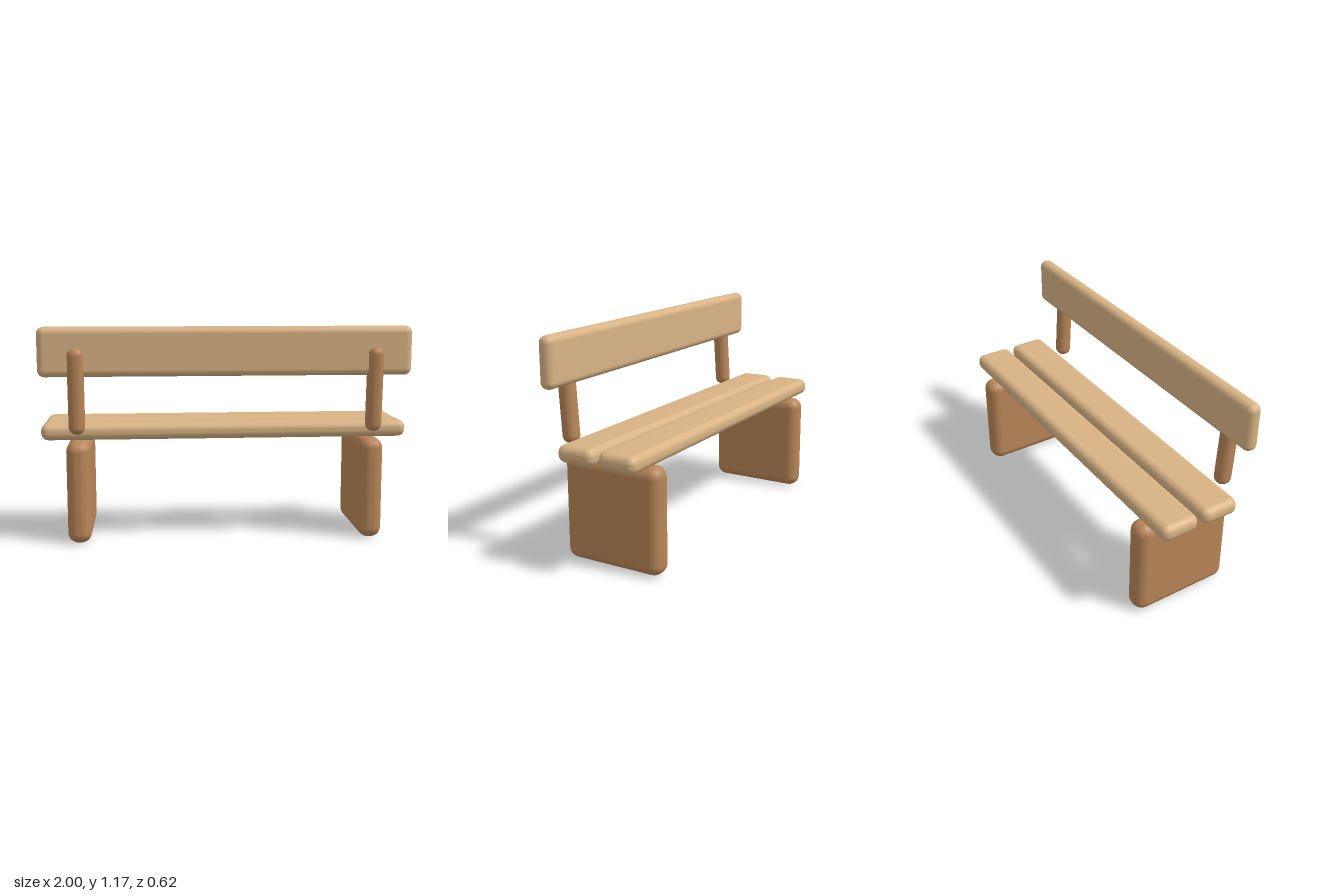
import * as THREE from 'three';
import { RoundedBoxGeometry } from 'three/addons/geometries/RoundedBoxGeometry.js';

export function createModel() {
  const bench = new THREE.Group();
  bench.name = 'bench';

  const lightWood = new THREE.MeshStandardMaterial({ color: 0xd8b384 });
  lightWood.name = 'lightWood';
  const brownWood = new THREE.MeshStandardMaterial({ color: 0xb98658 });
  brownWood.name = 'brownWood';

  // Softly rounded block given by its size and centre
  function block(name, material, [w, h, d], radius, [x, y, z]) {
    const mesh = new THREE.Mesh(new RoundedBoxGeometry(w, h, d, 4, radius), material);
    mesh.name = name;
    mesh.position.set(x, y, z);
    bench.add(mesh);
    return mesh;
  }

  // Two seat planks and the backrest board
  block('frontSeatPlank', lightWood, [2, 0.091, 0.213], 0.04, [0, 0.605, -0.16]);
  block('rearSeatPlank', lightWood, [2, 0.091, 0.213], 0.04, [0, 0.605, 0.081]);
  block('backrestBoard', lightWood, [2, 0.264, 0.079], 0.037, [0, 1.043, 0.24]);

  // Slab legs and the leaning backrest posts, mirrored on both sides
  for (const [side, x] of [['left', 0.8], ['right', -0.8]]) {
    block(side + 'Leg', brownWood, [0.128, 0.56, 0.562], 0.057, [x, 0.281, -0.026]);
    const post = block(side + 'BackrestPost', brownWood, [0.087, 0.463, 0.087], 0.041, [x, 0.835, 0.254]);
    post.rotation.x = 0.063;
  }

  return bench;
}
